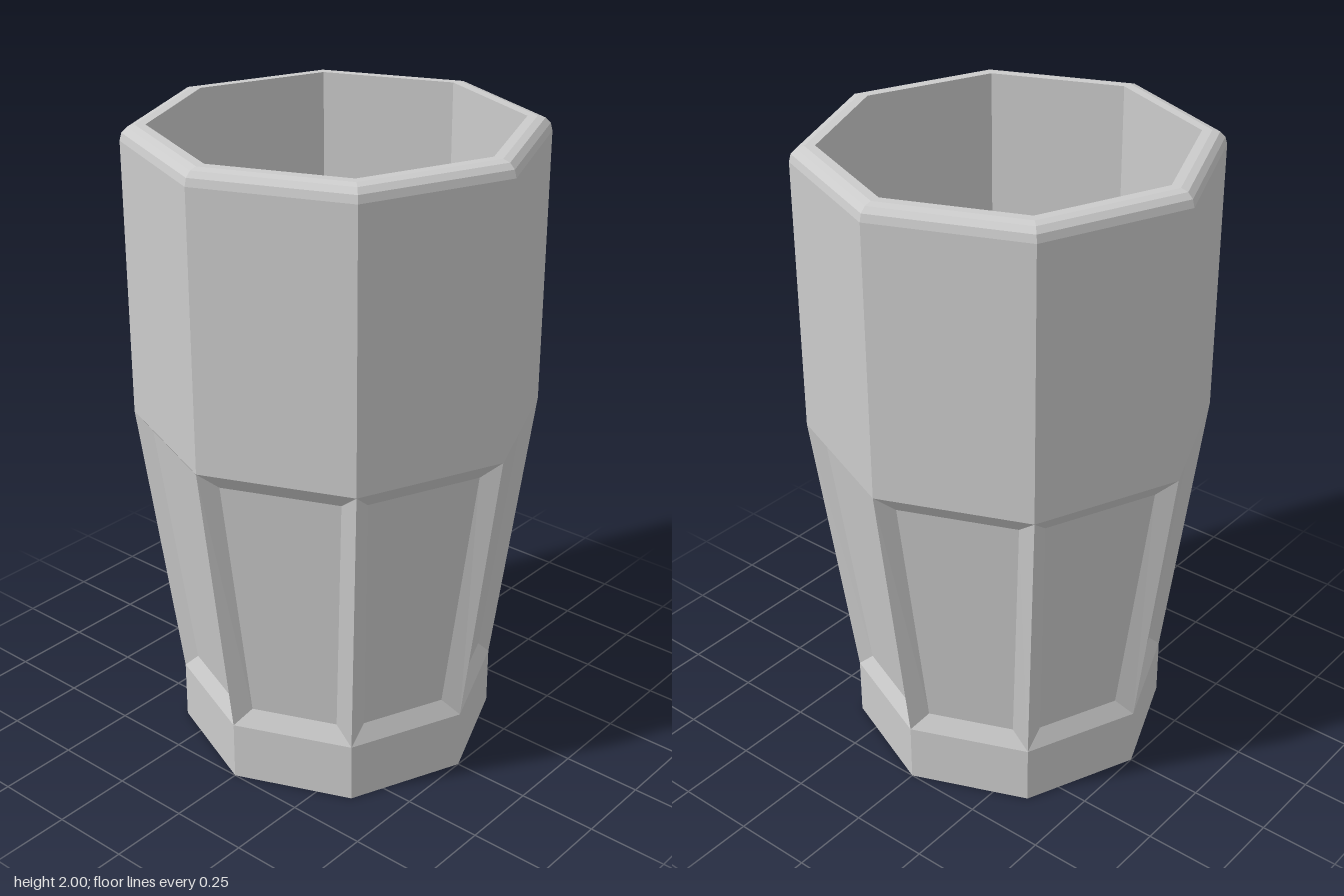
import * as THREE from 'three';

const SIDES = 8;
const material = new THREE.MeshStandardMaterial({ color: 0xcccccc, flatShading: true });

// Point on the octagon corner line i, at radius r and height y
function corner(i, r, y) {
  const a = (i / SIDES) * Math.PI * 2;
  return new THREE.Vector3(Math.sin(a) * r, y, Math.cos(a) * r);
}

// Flat-faced mesh from counter-clockwise quads
function quadMesh(name, quads) {
  const points = quads.flatMap(([a, b, c, d]) => [a, b, c, a, c, d]);
  const geometry = new THREE.BufferGeometry().setFromPoints(points);
  geometry.computeVertexNormals();
  const mesh = new THREE.Mesh(geometry, material);
  mesh.name = name;
  return mesh;
}

// Eight-sided shell swept around the axis from [radius, height] pairs
function octagonShell(name, profile) {
  const quads = [];
  for (let i = 0; i < SIDES; i++) {
    for (let k = 0; k < profile.length - 1; k++) {
      const [r0, y0] = profile[k];
      const [r1, y1] = profile[k + 1];
      quads.push([corner(i, r0, y0), corner(i + 1, r0, y0), corner(i + 1, r1, y1), corner(i, r1, y1)]);
    }
  }
  return quadMesh(name, quads);
}

// Tapered side with a bevelled, recessed panel
function recessedPanel(i, r0, y0, r1, y1, inset, depth) {
  const outer = [corner(i, r0, y0), corner(i + 1, r0, y0), corner(i + 1, r1, y1), corner(i, r1, y1)];
  const across = outer[1].clone().sub(outer[0]).normalize();
  const bottomMid = outer[0].clone().add(outer[1]).multiplyScalar(0.5);
  const up = outer[2].clone().add(outer[3]).multiplyScalar(0.5).sub(bottomMid).normalize();
  const normal = across.clone().cross(up);
  const inner = outer.map((p, k) => p.clone()
    .addScaledVector(across, k === 0 || k === 3 ? inset : -inset)
    .addScaledVector(up, k < 2 ? inset : -inset)
    .addScaledVector(normal, -depth));
  const quads = [inner];
  for (let k = 0; k < 4; k++) {
    const n = (k + 1) % 4;
    quads.push([outer[k], outer[n], inner[n], inner[k]]);
  }
  return quadMesh('recessedPanel', quads);
}

// Horizontal octagonal disc
function disc(name, radius, y, facing) {
  const mesh = new THREE.Mesh(new THREE.CircleGeometry(radius, SIDES), material);
  mesh.rotation.x = -facing * Math.PI / 2;
  mesh.position.y = y;
  mesh.name = name;
  return mesh;
}

export function createModel() {
  const glass = new THREE.Group();
  glass.name = 'drinkingGlass';

  // Foot and underside
  glass.add(octagonShell('foot', [[0.5, 0], [0.5, 0.19]]));
  glass.add(disc('underside', 0.5, 0, -1));

  // Tapered lower body
  const panels = new THREE.Group();
  panels.name = 'lowerBody';
  for (let i = 0; i < SIDES; i++) {
    panels.add(recessedPanel(i, 0.5, 0.19, 0.62, 1.11, 0.055, 0.03));
  }
  glass.add(panels);

  // Straight upper body and rounded rim
  glass.add(octagonShell('upperBody', [[0.62, 1.11], [0.62, 1.955]]));
  glass.add(octagonShell('rim', [[0.62, 1.955], [0.614, 1.978], [0.598, 1.994], [0.575, 2], [0.545, 2]]));

  // Hollow inside
  glass.add(octagonShell('innerWall', [[0.545, 2], [0.545, 1.11], [0.44, 0.19]]));
  glass.add(disc('innerFloor', 0.44, 0.19, 1));

  return glass;
}
